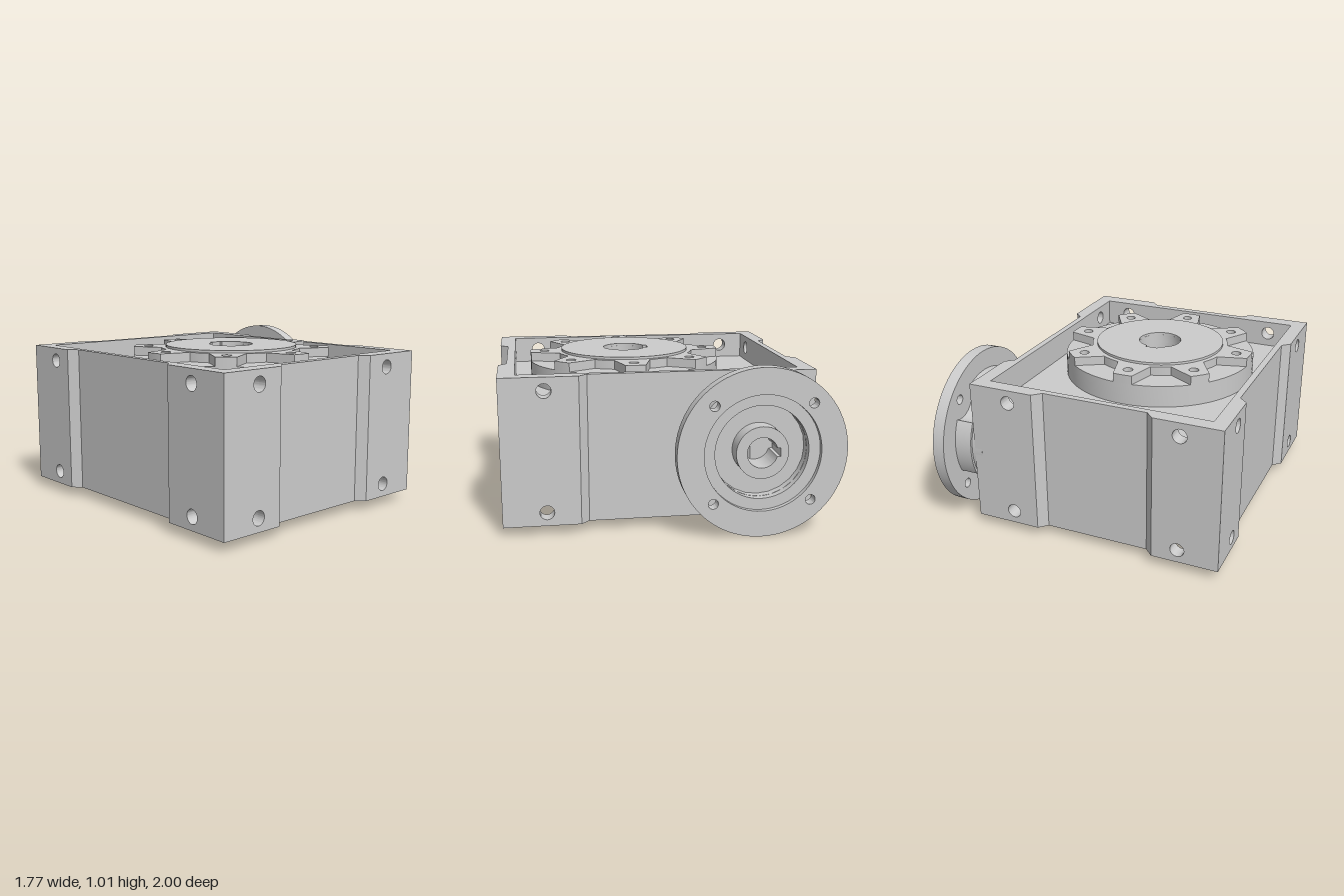
import * as THREE from 'three';
import { toCreasedNormals } from 'three/addons/utils/BufferGeometryUtils.js';

const CY = 0.505;                    // mid height of the housing
const HUB = { x: -0.105, z: 0.19 };  // vertical output axis
const IN_Z = -0.496;                 // horizontal input axis
const material = new THREE.MeshStandardMaterial({ color: 0xcccccc });

const hole = (x, y, r) => new THREE.Path().absarc(x, y, r, 0, Math.PI * 2, true);

function disc(r, holes = []) {
  const s = new THREE.Shape().absarc(0, 0, r, 0, Math.PI * 2, false);
  s.holes.push(...holes);
  return s;
}

function rect(x0, y0, x1, y1, holes = []) {
  const s = new THREE.Shape([[x0, y0], [x1, y0], [x1, y1], [x0, y1]].map(p => new THREE.Vector2(...p)));
  s.holes.push(...holes);
  return s;
}

// Round bore with a keyway; dir is the direction of the key
function keyedBore(r, keyR, halfW, dir) {
  const p = new THREE.Path(), d = Math.asin(halfW / r);
  p.absarc(0, 0, r, dir + d, dir - d + Math.PI * 2, false);
  for (const s of [-1, 1]) {
    const c = Math.cos(dir), n = Math.sin(dir);
    p.lineTo(c * keyR - n * s * halfW, n * keyR + c * s * halfW);
  }
  p.closePath();
  return p;
}

function extrude(shape, from, to, segments = 32) {
  const g = new THREE.ExtrudeGeometry(shape, { depth: to - from, bevelEnabled: false, curveSegments: segments });
  return g.translate(0, 0, from);
}

function add(group, name, geometry) {
  const mesh = new THREE.Mesh(toCreasedNormals(geometry, 0.5), material);
  mesh.name = name;
  group.add(mesh);
  return mesh;
}

// Side wall, built facing +z and turned: pads are [outer u, inner u, bolt hole u or null]
function wall(name, angle, pocket, recess, outer, pads) {
  const g = new THREE.Group();
  g.name = name;
  const y0 = 0.06, y1 = 0.95, step = outer - recess;
  const bolts = u => u === null ? [] : [-1, 1].map(s => hole(u, CY + s * 0.364, 0.043));
  const [a, b] = pads;
  const plate = rect(a[0] + 0.05, y0, b[0] - 0.05, y1, [...bolts(a[2]), ...bolts(b[2])]);
  add(g, 'wallPlate', extrude(plate, pocket, recess));
  for (const [u0, u1, h] of pads) {
    const dir = Math.sign(u1 - u0);
    add(g, 'cornerPad', extrude(rect(Math.min(u0, u1), y0, Math.max(u0, u1), y1, bolts(h)), recess, outer));
    // sloped inner edge of the pad
    const wedge = new THREE.Shape();
    wedge.moveTo(u1, -outer);
    wedge.lineTo(u1, -recess);
    wedge.lineTo(u1 + dir * step, -recess);
    wedge.closePath();
    add(g, 'padChamfer', extrude(wedge, y0, y1).rotateX(-Math.PI / 2));
  }
  g.rotation.y = angle;
  return g;
}

// Eight tapering bolt lugs around the output hub
function lugShape(holes) {
  const s = new THREE.Shape();
  for (let i = 0; i < 8; i++) {
    const a = i * Math.PI / 4;
    s.absarc(0, 0, 0.61, a - 0.1, a + 0.1, false);
    s.absarc(0, 0, 0.44, a + 0.25, a + Math.PI / 4 - 0.25, false);
  }
  s.closePath();
  s.holes.push(...holes);
  return s;
}

// Neck with four round scoops that clear the flange bolts
function neckShape() {
  const s = new THREE.Shape(), R = 0.38, d = 0.41, r = 0.125;
  const half = Math.acos((R * R + d * d - r * r) / (2 * R * d));
  for (let i = 0; i < 4; i++) {
    const a = Math.PI / 4 + i * Math.PI / 2;
    const cx = d * Math.cos(a), cy = d * Math.sin(a);
    const at = t => Math.atan2(R * Math.sin(t) - cy, R * Math.cos(t) - cx);
    s.absarc(0, 0, R, a - Math.PI / 2 + half, a - half, false);
    s.absarc(cx, cy, r, at(a - half), at(a + half), true);
  }
  s.closePath();
  s.holes.push(hole(0, 0, 0.279));
  return s;
}

export function createModel() {
  const model = new THREE.Group();
  model.name = 'wormGearbox';
  const Q = Math.PI / 2;

  // Housing walls
  model.add(
    wall('frontWall', 0, 0.90, 0.95, 1.0, [[-0.89, -0.48, -0.64], [0.68, 0.27, 0.43]]),
    wall('backWall', Math.PI, 0.77, 0.81, 0.86, [[-0.68, -0.27, -0.43], [0.89, 0.48, 0.64]]),
    wall('rightSideWall', -Q, 0.80, 0.84, 0.89, [[-0.86, -0.47, -0.61], [1.0, 0.54, 0.74]]),
    wall('leftSideWall', Q, 0.59, 0.63, 0.68, [[-1.0, -0.54, -0.74], [0.86, 0.47, null]]));

  // Output side: solid core between the two pockets and a hub on each face
  const output = new THREE.Group();
  output.name = 'outputHub';
  output.position.set(HUB.x, 0, HUB.z);
  model.add(output);
  const bore = () => keyedBore(0.135, 0.15, 0.04, Q);
  const taps = () => Array.from({ length: 8 }, (_, i) =>
    hole(0.52 * Math.cos(i * Q / 2), 0.52 * Math.sin(i * Q / 2), 0.03));
  const upright = (name, shape, y0, y1, seg) =>
    add(output, name, extrude(shape, y0, y1, seg).rotateX(-Q));
  upright('housingCore', rect(-0.71, -0.725, 0.71, 0.975, [bore()]), 0.23, 0.78);
  const layers = [
    ['hubBase', () => disc(0.61, [bore(), ...taps()]), 0.78, 0.915, 32],
    ['boltLugs', () => lugShape([bore(), ...taps()]), 0.915, 0.97, 10],
    ['hubDisc', () => disc(0.41, [bore()]), 0.90, 0.985, 32],
  ];
  for (const [name, shape, y0, y1, seg] of layers) {
    upright(name + 'Top', shape(), y0, y1, seg);
    upright(name + 'Bottom', shape(), 2 * CY - y1, 2 * CY - y0, seg);
  }

  // Input side: motor flange with recess, neck and hollow shaft
  const input = new THREE.Group();
  input.name = 'inputFlange';
  input.position.set(0, CY, IN_Z);
  model.add(input);
  const inBore = () => keyedBore(0.091, 0.108, 0.025, 0);
  const bolts = () => [0, 1, 2, 3].map(i =>
    hole(0.41 * Math.cos(Q / 2 + i * Q), 0.41 * Math.sin(Q / 2 + i * Q), 0.03));
  const sideways = (name, shape, x0, x1, seg) =>
    add(input, name, extrude(shape, x0, x1, seg).rotateY(Q));
  sideways('collar', disc(0.365, [inBore()]), 0.63, 0.70);
  sideways('recessFloor', disc(0.279, [inBore()]), 0.70, 0.76);
  sideways('neck', neckShape(), 0.70, 0.81, 12);
  sideways('flangeBack', disc(0.504, [hole(0, 0, 0.279), ...bolts()]), 0.81, 0.855, 40);
  sideways('flangeFace', disc(0.504, [hole(0, 0, 0.347), ...bolts()]), 0.855, 0.885, 40);
  sideways('inputShaft', disc(0.156, [inBore()]), 0.76, 0.865);

  return model;
}
